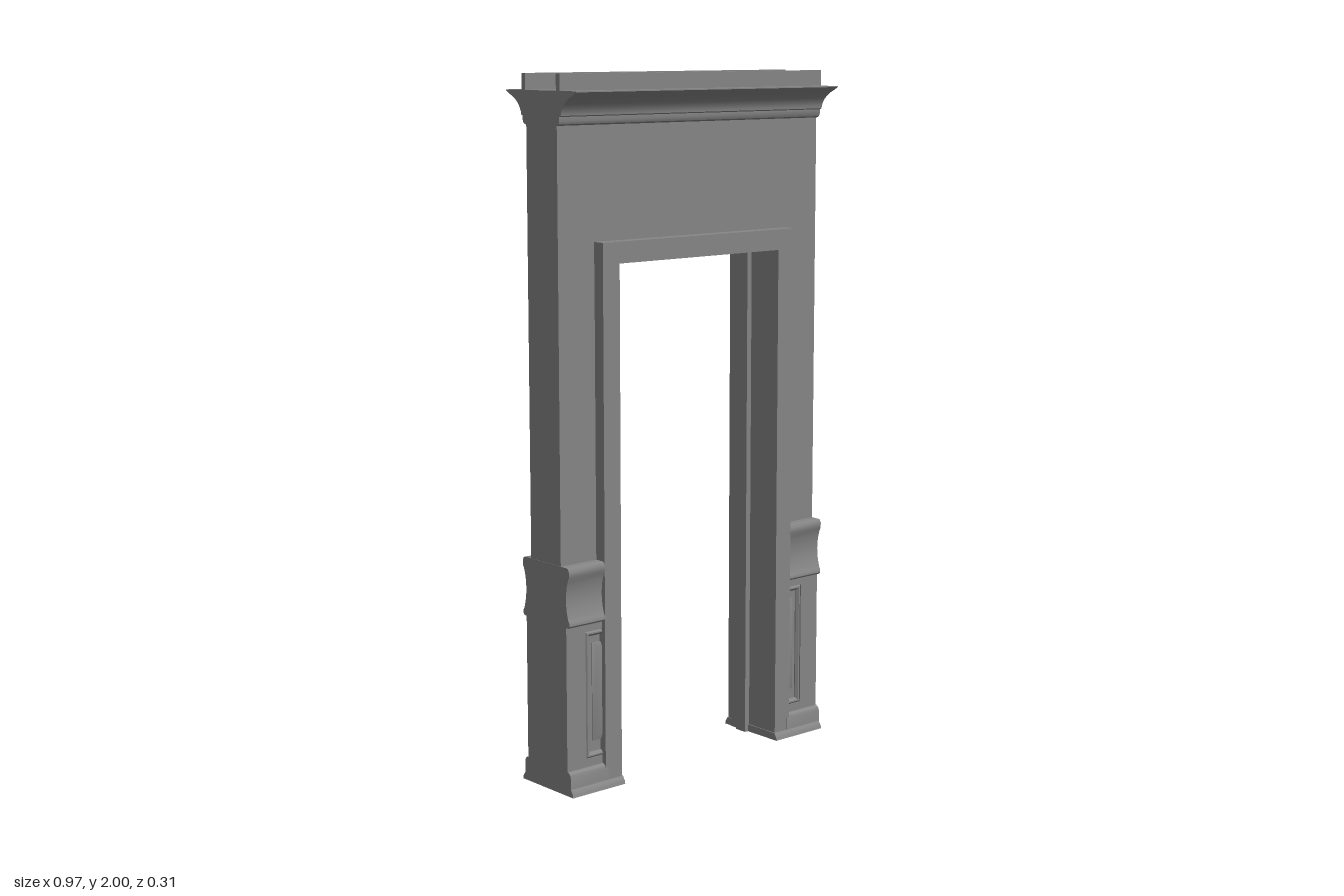
import * as THREE from 'three';
import { toCreasedNormals } from 'three/addons/utils/BufferGeometryUtils.js';

const material = new THREE.MeshStandardMaterial({ color: 0x868686 });

const toShape = (pts) => new THREE.Shape(pts.map(([x, y]) => new THREE.Vector2(x, y)));
const extrude = (pts, depth) =>
  new THREE.ExtrudeGeometry(toShape(pts), { depth, bevelEnabled: false });

// Extrusion with chamfered edges that stays inside its outline
const chamfered = (pts, depth, size, thickness) =>
  new THREE.ExtrudeGeometry(toShape(pts), {
    depth, bevelSize: size, bevelOffset: -size, bevelThickness: thickness, bevelSegments: 1,
  });

export function createModel() {
  const model = new THREE.Group();

  function add(name, geometry) {
    const mesh = new THREE.Mesh(toCreasedNormals(geometry, 0.6), material);
    mesh.name = name;
    model.add(mesh);
  }

  // Half profile of [z, y] points, mirrored front to back and run along x
  function runAlongX(name, half, x0, x1) {
    const back = half.map(([z, y]) => [-z, y]).reverse();
    const geometry = extrude([...half, ...back], x1 - x0);
    add(name, geometry.rotateY(Math.PI / 2).translate(x0, 0, 0));
  }

  // Wall with the doorway cut out
  add('wall', extrude([
    [-0.485, 0], [-0.31, 0], [-0.31, 1.5], [0.31, 1.5], [0.31, 0],
    [0.485, 0], [0.485, 1.87], [-0.485, 1.87],
  ], 0.134).translate(0, 0, -0.067));

  // Cornice: small fillets, a shallow cove and a wide flat top
  runAlongX('cornice', [
    [0.067, 1.862], [0.076, 1.866], [0.08, 1.874], [0.08, 1.886], [0.087, 1.889], [0.088, 1.897],
    [0.093, 1.908], [0.101, 1.919], [0.112, 1.929], [0.125, 1.937], [0.139, 1.944], [0.153, 1.952],
    [0.153, 1.955],
  ], -0.487, 0.487);

  // Two upright fins on the cornice
  for (const z of [-0.075, 0.075]) {
    add('topFin', new THREE.BoxGeometry(0.974, 0.05, 0.016).translate(0, 1.975, z));
  }

  // Square head casing across the doorway
  add('headCasing', new THREE.BoxGeometry(0.72, 0.06, 0.212).translate(0, 1.515, 0));

  // Plan of a jamb casing, with a moulded door stop on the back half
  const jamb = [
    [0.359, 0.104], [0.359, -0.104], [0.3, -0.104], [0.3, -0.088], [0.294, -0.082],
    [0.294, -0.062], [0.286, -0.054], [0.285, -0.045], [0.285, -0.012], [0.3, -0.01], [0.3, 0.104],
  ];

  // Wainscot: skirting, panel core, rail bead, hollow frieze and cap
  const wainscot = [
    [0.105, 0], [0.105, 0.055], [0.102, 0.064], [0.094, 0.07], [0.08, 0.07],
    [0.08, 0.485], [0.1, 0.486], [0.104, 0.491], [0.104, 0.501], [0.1, 0.507],
  ];
  for (let i = 0; i <= 8; i++) {
    const t = i / 4 - 1;
    wainscot.push([0.09 + 0.008 * t * t, 0.565 + 0.052 * t]);
  }
  wainscot.push([0.1, 0.622], [0.104, 0.63], [0.104, 0.646], [0.1, 0.654], [0.094, 0.656], [0.067, 0.656]);
  const lip = [[0.115, 0], [0.114, 0.008], [0.109, 0.016], [0.105, 0.022]];

  for (const s of [1, -1]) {
    const side = s > 0 ? 'left' : 'right';
    const span = (a, b) => (s > 0 ? [a, b] : [-b, -a]);
    add(side + 'JambCasing', extrude(jamb.map(([x, z]) => [s * x, -z]), 1.485).rotateX(-Math.PI / 2));
    runAlongX(side + 'Wainscot', wainscot, ...span(0.35, 0.486));
    runAlongX(side + 'SkirtingLip', lip, ...span(0.297, 0.486));

    // Half panel that runs in behind the casing, on both faces
    for (const f of [1, -1]) {
      const flip = (pts) => pts.map(([x, y]) => [s * x, y]);
      const frame = (outer, inner, y0, y1, t) => flip([
        [0.33, y0], [outer, y0], [outer, y1], [0.33, y1],
        [0.33, y1 - t], [inner, y1 - t], [inner, y0 + t], [0.33, y0 + t],
      ]);
      const place = (name, geometry) => add(name, geometry.translate(0, 0, f * 0.0825 - 0.0075));

      // Stile and rails
      place(side + 'PanelFrame', extrude(frame(0.486, 0.418, 0.069, 0.486, 0.024), 0.015));
      // Ridged moulding inside the frame
      place(side + 'PanelMoulding', chamfered(frame(0.42, 0.402, 0.091, 0.464, 0.018), 0.003, 0.007, 0.007)
        .translate(0, 0, 0.006));
      // Raised field with sloping margins
      const field = flip([[0.33, 0.14], [0.39, 0.14], [0.39, 0.425], [0.33, 0.425]]);
      place(side + 'PanelField', chamfered(field, 0.002, 0.014, 0.006).translate(0, 0, 0.0065));
    }
  }
  return model;
}
